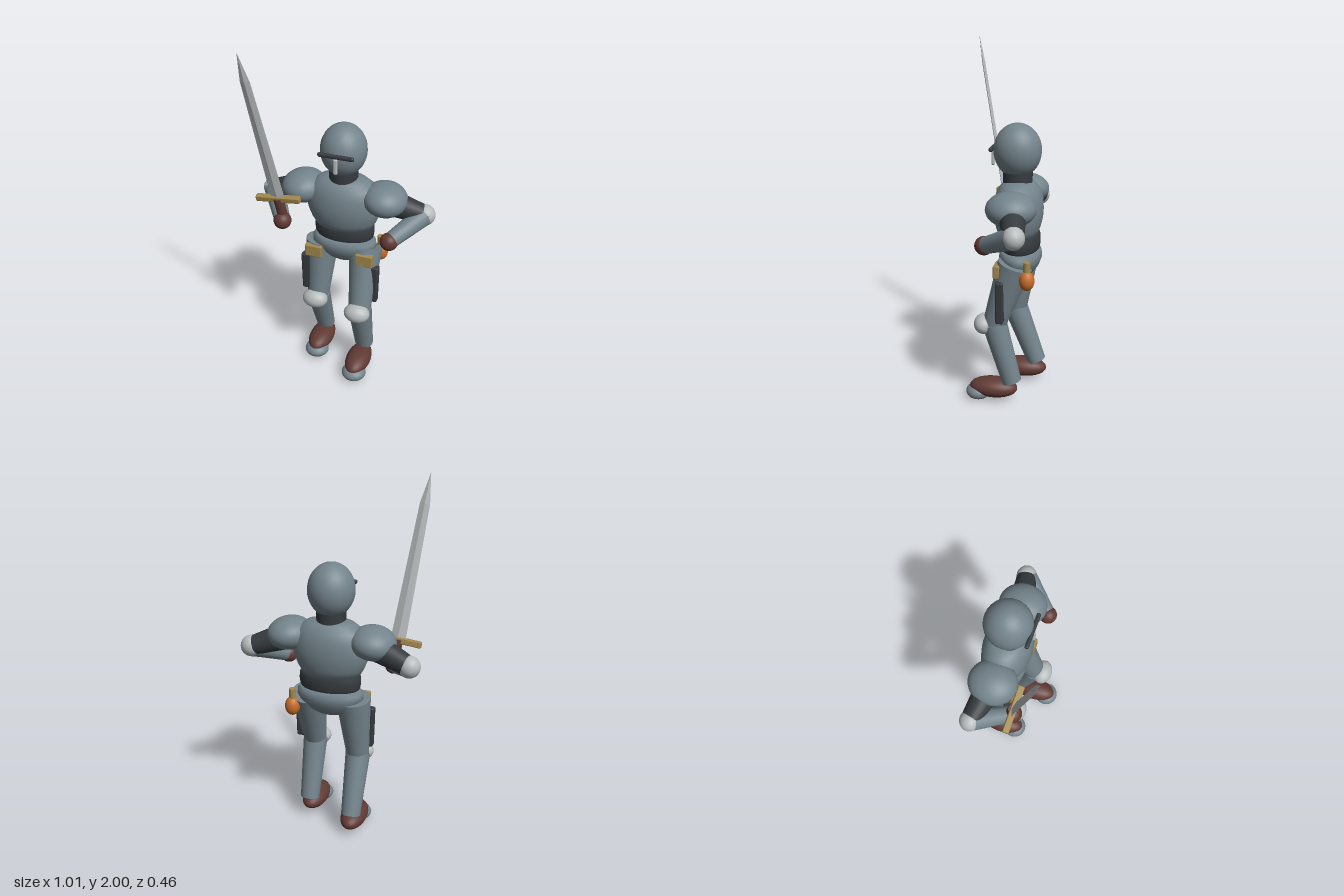
import * as THREE from 'three';
import { RoundedBoxGeometry } from 'three/addons/geometries/RoundedBoxGeometry.js';

const mat = (name, color) => {
  const m = new THREE.MeshStandardMaterial({ color });
  m.name = name;
  return m;
};
const V = (x, y, z) => new THREE.Vector3(x, y, z);

export function createModel() {
  const model = new THREE.Group();
  model.name = 'armouredSwordsman';
  const steel = mat('steel', 0x74848c), dark = mat('darkCloth', 0x363b3f), bright = mat('brightSteel', 0xb6bbbc);
  const leather = mat('leather', 0x613a34), brass = mat('brass', 0xa3894f), orange = mat('orangeGourd', 0xc66c2a);

  const add = (name, geo, material, pos = [0, 0, 0], parent = model) => {
    const m = new THREE.Mesh(geo, material);
    m.name = name;
    m.position.set(...pos);
    parent.add(m);
    return m;
  };
  const ellipsoid = (name, material, pos, r) =>
    add(name, new THREE.SphereGeometry(1, 28, 20).scale(...r), material, pos);
  // tapered limb from a to b
  const limb = (name, material, a, b, ra, rb) => {
    const d = b.clone().sub(a);
    const m = add(name, new THREE.CylinderGeometry(rb, ra, d.length(), 24), material);
    m.position.copy(a).addScaledVector(d, 0.5);
    m.quaternion.setFromUnitVectors(V(0, 1, 0), d.normalize());
    return m;
  };
  // body section: lathe flattened front to back
  const section = (name, material, profile, depth, z) =>
    add(name, new THREE.LatheGeometry(profile.map(p => new THREE.Vector2(...p)), 40).scale(1, 1, depth), material, [0, 0, z]);

  // Body
  section('breastplate', steel, [[0, 0.955], [0.165, 0.96], [0.188, 1.0], [0.207, 1.05], [0.212, 1.1], [0.205, 1.16],
    [0.18, 1.21], [0.135, 1.245], [0.08, 1.26], [0, 1.26]], 0.635, -0.086);
  section('waist', dark, [[0, 0.87], [0.16, 0.87], [0.17, 0.89], [0.174, 0.92], [0.172, 0.95], [0.16, 0.975], [0, 0.975]], 0.61, -0.1);
  section('pelvis', steel, [[0, 0.718], [0.08, 0.725], [0.125, 0.75], [0.165, 0.785], [0.188, 0.825], [0.185, 0.855],
    [0.165, 0.88], [0, 0.885]], 0.62, -0.098);

  // Head
  add('neck', new THREE.CylinderGeometry(0.08, 0.08, 0.09, 28), dark, [0, 1.275, -0.08]);
  ellipsoid('helmet', steel, [0, 1.42, -0.078], [0.127, 0.147, 0.13]);
  add('visorSlit', new RoundedBoxGeometry(0.2, 0.024, 0.022, 3, 0.01), dark, [0, 1.435, 0.05]);
  add('noseGuard', new RoundedBoxGeometry(0.024, 0.09, 0.02, 3, 0.009), bright, [0, 1.38, 0.055]);

  // Arms
  for (const s of [1, -1]) {
    const side = s > 0 ? 'left' : 'right';
    const elbow = V(s * 0.445, 1.07, -0.138);
    const hand = s > 0 ? V(0.3, 0.975, 0.043) : V(-0.315, 0.987, 0.053);
    const pauldron = ellipsoid(side + 'Pauldron', steel, [s * 0.235, 1.157, -0.085], [0.124, 0.09, 0.134]);
    pauldron.rotation.z = -s * 0.1;
    limb(side + 'UpperArm', dark, V(s * 0.23, 1.145, -0.09), elbow, 0.077, 0.053);
    ellipsoid(side + 'ElbowGuard', bright, elbow.toArray(), [0.06, 0.06, 0.057]);
    limb(side + 'Forearm', steel, elbow, hand, 0.058, 0.044);
    ellipsoid(side + 'Hand', leather, hand.toArray(), [0.05, 0.05, 0.05]);
  }

  // Legs: left stepping forward, right trailing
  const legs = [
    { side: 'left', s: 1, x: 0.137, kneeY: 0.465, kneeZ: 0.025, ankleZ: -0.075, footZ: 0.03 },
    { side: 'right', s: -1, x: -0.146, kneeY: 0.45, kneeZ: -0.045, ankleZ: -0.172, footZ: -0.095 },
  ];
  for (const { side, s, x, kneeY, kneeZ, ankleZ, footZ } of legs) {
    const knee = V(x, kneeY, kneeZ);
    limb(side + 'Thigh', steel, V(s * 0.13, 0.82, -0.09), knee, 0.096, 0.064);
    limb(side + 'Shin', steel, V(x, kneeY + 0.01, kneeZ), V(x * 1.01, 0.125, ankleZ), 0.07, 0.055);
    ellipsoid(side + 'KneeGuard', bright, [x, kneeY, kneeZ + 0.055], [0.076, 0.056, 0.058]);
    ellipsoid(side + 'Boot', leather, [x, 0.077, footZ], [0.073, 0.057, 0.137]);
    ellipsoid(side + 'ToeCap', steel, [x, 0.044, footZ + 0.088], [0.072, 0.044, 0.07]);
    // Hip gear
    add(side + 'BeltPouch', new RoundedBoxGeometry(0.1, 0.074, 0.036, 2, 0.007), brass, [s * 0.15, 0.79, 0.002]);
    const sheath = add(side + 'ThighSheath', new RoundedBoxGeometry(0.055, 0.24, 0.044, 3, 0.01), dark, [s * 0.203, 0.625, -0.02]);
    sheath.rotation.z = -s * 0.02;
  }

  // Gourd on the left hip
  ellipsoid('gourd', orange, [0.198, 0.757, -0.165], [0.042, 0.055, 0.042]);
  add('gourdStopper', new THREE.CylinderGeometry(0.019, 0.019, 0.06, 20), brass, [0.196, 0.83, -0.165]);

  // Sword, built upright along its own y axis then tilted
  const sword = new THREE.Group();
  sword.name = 'sword';
  const up = V(-0.102, 0.87, 0.162).normalize();
  const across = V(1, 0.125, 0).addScaledVector(up, -V(1, 0.125, 0).dot(up)).normalize();
  sword.quaternion.setFromRotationMatrix(new THREE.Matrix4().makeBasis(across, up, across.clone().cross(up)));
  sword.position.set(-0.33, 1.13, 0.063);
  model.add(sword);
  add('grip', new THREE.CylinderGeometry(0.028, 0.028, 0.17, 20), leather, [0, -0.08, 0], sword);
  add('crossguard', new RoundedBoxGeometry(0.26, 0.034, 0.036, 2, 0.006), brass, [0, 0, 0], sword);
  // blade: diamond cross-sections [height, half width, half thickness]
  const rings = [[0, 0.041, 0.011], [0.73, 0.027, 0.009], [0.886, 0.0005, 0.0005]];
  const corner = ([y, w, t], k) => [[w, y, 0], [0, y, t], [-w, y, 0], [0, y, -t]][k % 4];
  const pts = [];
  for (let i = 0; i < rings.length - 1; i++) {
    for (let k = 0; k < 4; k++) {
      const a = corner(rings[i], k), b = corner(rings[i], k + 1);
      const c = corner(rings[i + 1], k + 1), d = corner(rings[i + 1], k);
      pts.push(...a, ...c, ...b, ...a, ...d, ...c);
    }
  }
  const blade = new THREE.BufferGeometry();
  blade.setAttribute('position', new THREE.Float32BufferAttribute(pts, 3));
  // corners run clockwise seen from outside, so flip when needed
  const p = blade.attributes.position;
  for (let i = 0; i < p.count; i += 3) {
    const [a, b, c] = [0, 1, 2].map(j => new THREE.Vector3().fromBufferAttribute(p, i + j));
    const n = b.clone().sub(a).cross(c.clone().sub(a));
    const mid = a.clone().add(b).add(c).setY(0);
    if (n.dot(mid) < 0) {
      p.setXYZ(i + 1, c.x, c.y, c.z);
      p.setXYZ(i + 2, b.x, b.y, b.z);
    }
  }
  blade.computeVertexNormals();
  add('blade', blade, bright, [0, 0, 0], sword);

  return model;
}
